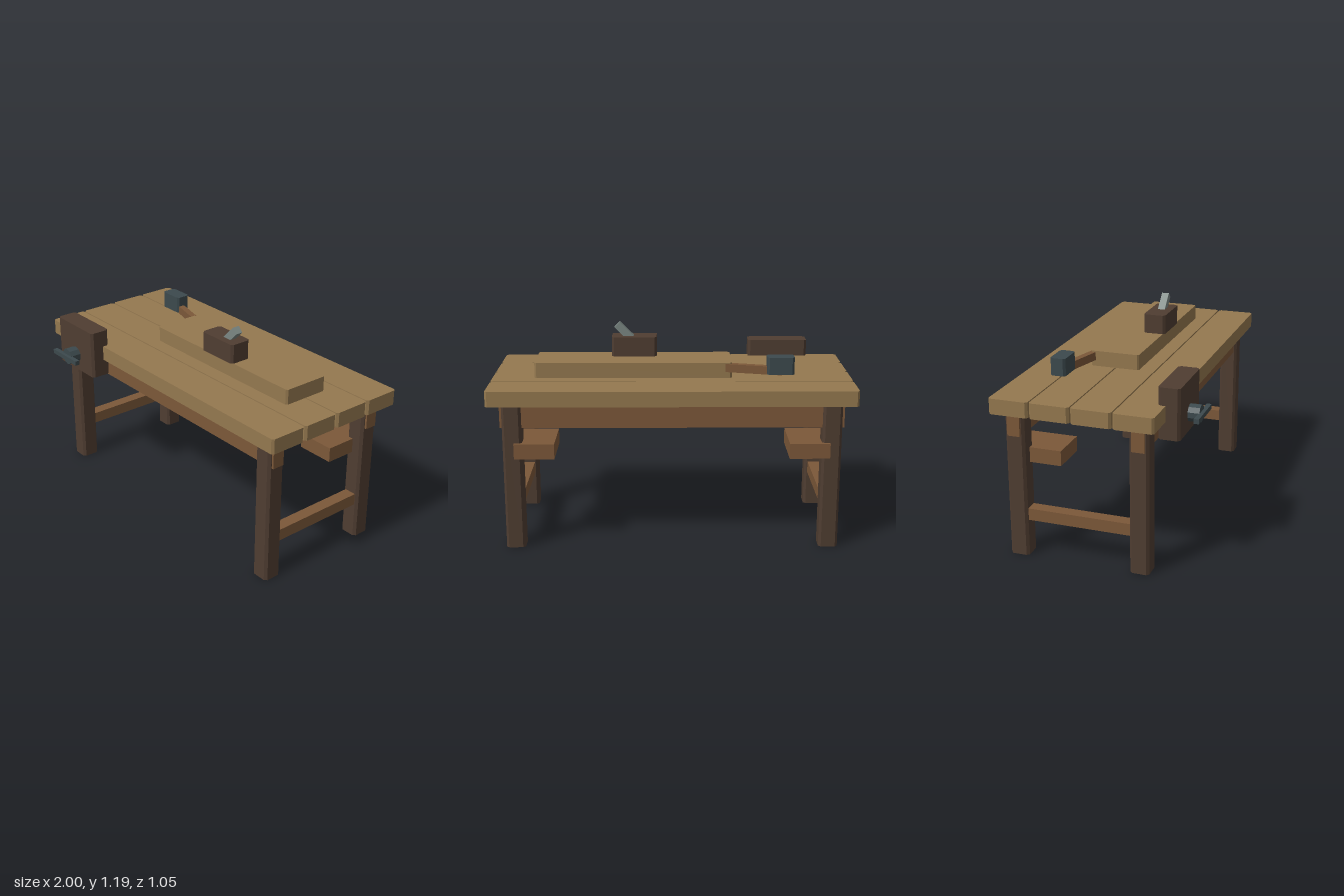
import * as THREE from 'three';

const paint = (color) => new THREE.MeshStandardMaterial({ color, flatShading: true });

export function createModel() {
  const model = new THREE.Group();
  const lightWood = paint(0x94784f);
  const midWood = paint(0x7c5839);
  const darkWood = paint(0x4f3d31);
  const iron = paint(0x3c494d);
  const steel = paint(0x7b8783);

  function add(name, geometry, material, parent = model) {
    const mesh = new THREE.Mesh(geometry, material);
    mesh.name = name;
    parent.add(mesh);
    return mesh;
  }

  // Plain block given by its extents
  function block(name, material, [x0, x1], [y0, y1], [z0, z1], parent) {
    const g = new THREE.BoxGeometry(x1 - x0, y1 - y0, z1 - z0);
    g.translate((x0 + x1) / 2, (y0 + y1) / 2, (z0 + z1) / 2);
    return add(name, g, material, parent);
  }

  // Block with its four upright edges chamfered
  function chamfered(name, material, [x0, x1], [y0, y1], [z0, z1], c = 0.012, parent) {
    const a = (x1 - x0) / 2, b = (z1 - z0) / 2;
    const outline = new THREE.Shape([
      [a - c, -b], [a, c - b], [a, b - c], [a - c, b],
      [c - a, b], [-a, b - c], [-a, c - b], [c - a, -b],
    ].map(([x, y]) => new THREE.Vector2(x, y)));
    const g = new THREE.ExtrudeGeometry(outline, { depth: y1 - y0, bevelEnabled: false });
    g.rotateX(-Math.PI / 2);
    g.translate((x0 + x1) / 2, y0, (z0 + z1) / 2);
    return add(name, g, material, parent);
  }

  // Table top: four planks with narrow gaps
  for (let i = 0; i < 4; i++) {
    const z = 0.258 - i * 0.2245;
    chamfered('topPlank', lightWood, [-1, 1], [0.825, 0.91], [z - 0.1085, z + 0.1085], 0.012);
  }

  // Legs and long rails
  for (const z of [0.261, -0.42]) {
    for (const x of [-0.87, 0.87]) {
      chamfered('leg', darkWood, [x - 0.053, x + 0.053], [0, 0.825], [z - 0.053, z + 0.053], 0.014);
    }
    block('longRail', midWood, [-0.935, 0.935], [0.69, 0.825], [z - 0.035, z + 0.035]);
  }

  // Side stretchers and the shelf boards by the back legs
  for (const s of [-1, 1]) {
    const x = s * 0.87, shelfX = s * 0.75;
    block('sideStretcher', midWood, [x - 0.035, x + 0.035], [0.205, 0.272], [-0.39, 0.23]);
    block('shelfBoard', midWood, [shelfX - 0.11, shelfX + 0.11], [0.523, 0.607], [-0.49, -0.19]);
  }

  // Front vise: jaw, screw hub and turning bar
  const vise = new THREE.Group();
  vise.name = 'vise';
  model.add(vise);
  chamfered('viseJaw', darkWood, [-0.817, -0.465], [0.728, 1.006], [0.325, 0.442], 0.014, vise);
  const hub = new THREE.CylinderGeometry(0.048, 0.048, 0.085, 10);
  hub.rotateX(Math.PI / 2);
  add('viseScrew', hub, iron, vise).position.set(-0.641, 0.824, 0.462);
  block('viseBar', iron, [-0.76, -0.523], [0.811, 0.837], [0.497, 0.524], vise);

  // Board being worked on
  chamfered('workpiece', lightWood, [-0.335, 0.765], [0.91, 0.996], [-0.222, 0.056], 0.01);

  // Hand plane with its slanted iron
  const plane = new THREE.Group();
  plane.name = 'handPlane';
  model.add(plane);
  chamfered('planeBody', darkWood, [0.085, 0.34], [0.996, 1.106], [-0.06, 0.068], 0.013, plane);
  const blade = add('planeIron', new THREE.BoxGeometry(0.16, 0.042, 0.042), steel, plane);
  blade.position.set(0.254, 1.114, 0.004);
  blade.rotation.z = Math.PI / 4;

  // Mallet with its handle resting against the workpiece
  const mallet = new THREE.Group();
  mallet.name = 'mallet';
  model.add(mallet);
  chamfered('malletHead', iron, [-0.672, -0.523], [0.95, 1.046], [-0.32, -0.235], 0.012, mallet);
  const handle = add('malletHandle', new THREE.BoxGeometry(0.32, 0.046, 0.036), midWood, mallet);
  handle.position.set(-0.455, 0.966, -0.245);
  handle.rotation.y = -0.26;

  return model;
}
